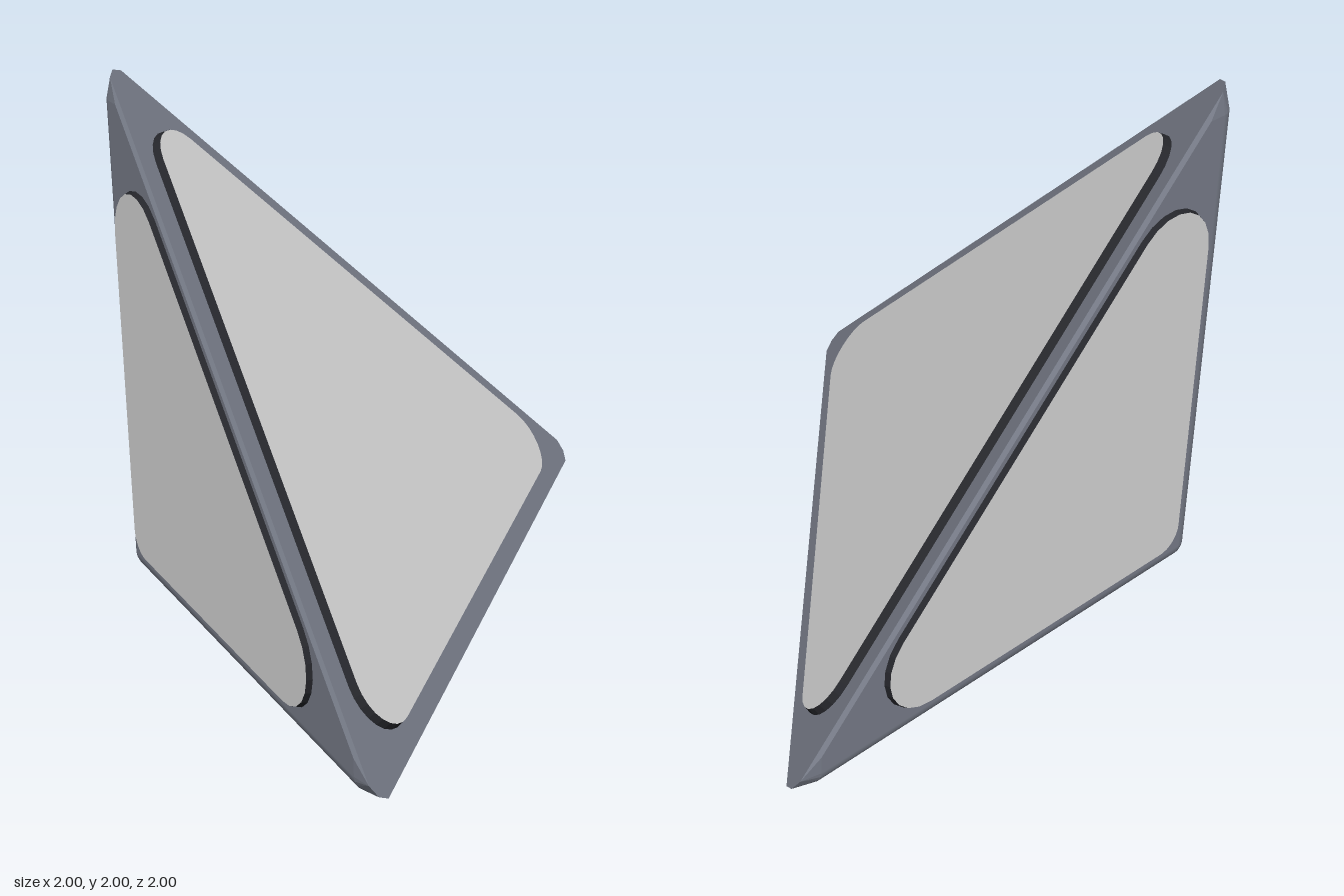
import * as THREE from 'three';
import { ConvexGeometry } from 'three/addons/geometries/ConvexGeometry.js';

const V = (x, y, z) => new THREE.Vector3(x, y, z);
const material = (name, color) => Object.assign(new THREE.MeshStandardMaterial({ color }), { name });

// Corner block: three square faces meeting at a rounded corner, cut by one slanted face
function bodyGeometry() {
  const lo = 0.09, r = 0.07, steps = 6, q = Math.PI / 2;
  const points = [];
  // rounded square corner
  for (let i = 0; i <= steps; i++) {
    const t = (i / steps) * q;
    const n = i === 0 ? 0 : steps;
    for (let j = 0; j <= n; j++) {
      const p = n ? (j / n) * q : 0;
      points.push(V(lo - r * Math.sin(t) * Math.cos(p), lo - r * Math.cos(t), lo - r * Math.sin(t) * Math.sin(p)));
    }
  }
  // three tapered tips, one along each axis
  const tip = [[0.16, 1.9, 0.02], [0.02, 1.9, 0.16], [0.1, 1.985, 0.03], [0.03, 1.985, 0.1], [0.0575, 2, 0.0575]];
  for (let j = 0; j <= steps; j++) {
    const p = (j / steps) * q;
    tip.push([lo - r * Math.cos(p), 1.9, lo - r * Math.sin(p)]);
  }
  for (let k = 0; k < 3; k++)
    for (const c of tip) points.push(V(c[k], c[(k + 1) % 3], c[(k + 2) % 3]));

  // smooth normals on the rounded edges, flat ones elsewhere
  const geo = new ConvexGeometry(points);
  const pos = geo.attributes.position, nor = geo.attributes.normal;
  for (let f = 0; f < pos.count; f += 3) {
    const ns = [0, 1, 2].map((i) => V(
      Math.min(0, pos.getX(f + i) - lo), Math.min(0, pos.getY(f + i) - lo), Math.min(0, pos.getZ(f + i) - lo)));
    if (ns.every((n) => Math.abs(n.length() - r) < 0.001))
      ns.forEach((n, i) => { n.normalize(); nor.setXYZ(f + i, n.x, n.y, n.z); });
  }
  return geo;
}

// Outline of a triangle with rounded corners (counter-clockwise), optionally inset
function roundedTriangle(corners, radii, inset) {
  const out = [], steps = 8;
  corners.forEach((c, i) => {
    const a = corners[(i + 2) % 3].clone().sub(c).normalize();
    const b = corners[(i + 1) % 3].clone().sub(c).normalize();
    const half = Math.acos(a.dot(b)) / 2;
    const mid = a.clone().add(b).normalize();
    const centre = c.clone().addScaledVector(mid, radii[i] / Math.sin(half));
    const out0 = Math.atan2(-mid.y, -mid.x), sweep = Math.PI / 2 - half;
    for (let s = 0; s <= steps; s++) {
      const t = out0 - sweep + (2 * sweep * s) / steps;
      const r = radii[i] - inset;
      out.push(new THREE.Vector2(centre.x + r * Math.cos(t), centre.y + r * Math.sin(t)));
    }
  });
  return out;
}

// Raised panel: dark sloping rim with a light cap
function panel(name, corners, radii, height, mats) {
  const group = new THREE.Group();
  group.name = name;
  const outer = roundedTriangle(corners, radii, 0);
  const inner = roundedTriangle(corners, radii, 0.008);
  const verts = [];
  outer.forEach((o, i) => {
    const j = (i + 1) % outer.length;
    const A = [o.x, o.y, 0], B = [outer[j].x, outer[j].y, 0];
    const C = [inner[j].x, inner[j].y, height], D = [inner[i].x, inner[i].y, height];
    verts.push(...A, ...B, ...C, ...A, ...C, ...D);
  });
  const wall = new THREE.BufferGeometry();
  wall.setAttribute('position', new THREE.Float32BufferAttribute(verts, 3));
  wall.computeVertexNormals();
  const rim = new THREE.Mesh(wall, mats.rim);
  rim.name = name + 'Rim';
  const cap = new THREE.Mesh(new THREE.ShapeGeometry(new THREE.Shape(inner)), mats.panel);
  cap.name = name + 'Cap';
  cap.position.z = height;
  group.add(rim, cap);
  return group;
}

function place(object, u, v, n, origin) {
  object.quaternion.setFromRotationMatrix(new THREE.Matrix4().makeBasis(u, v, n));
  object.position.copy(origin);
  return object;
}

export function createModel() {
  const mats = {
    body: material('slate body', 0x7b808d),
    rim: material('black rim', 0x25262b),
    panel: material('light grey panel', 0xdcdcdc),
  };
  const model = new THREE.Group();
  model.name = 'cornerPyramid';
  const parts = new THREE.Group();
  parts.name = 'pyramidParts';
  parts.position.set(-1, 0, -1);
  model.add(parts);

  const body = new THREE.Mesh(bodyGeometry(), mats.body);
  body.name = 'body';
  parts.add(body);

  // panels on the three square faces
  const axes = [V(1, 0, 0), V(0, 1, 0), V(0, 0, 1)];
  const right = [[0.12, 0.12], [1.91, 0.12], [0.12, 1.91]].map(([x, y]) => new THREE.Vector2(x, y));
  ['sidePanel', 'bottomPanel', 'backPanel'].forEach((name, k) => {
    const p = panel(name, right, [0.1, 0.205, 0.205], 0.02, mats);
    parts.add(place(p, axes[(k + 2) % 3], axes[(k + 1) % 3], axes[k].clone().negate(),
      axes[k].clone().multiplyScalar(0.02)));
  });

  // large panel on the slanted face
  const equal = [0, 1, 2].map((i) => {
    const t = Math.PI / 2 + (i * Math.PI * 2) / 3;
    return new THREE.Vector2(1.47 * Math.cos(t), 1.47 * Math.sin(t));
  });
  const slant = panel('slantedPanel', equal, [0.16, 0.16, 0.16], 0.029, mats);
  parts.add(place(slant, V(-1, 1, 0).normalize(), V(-1, -1, 2).normalize(), V(1, 1, 1).normalize(),
    V(0.705, 0.705, 0.705)));
  return model;
}
